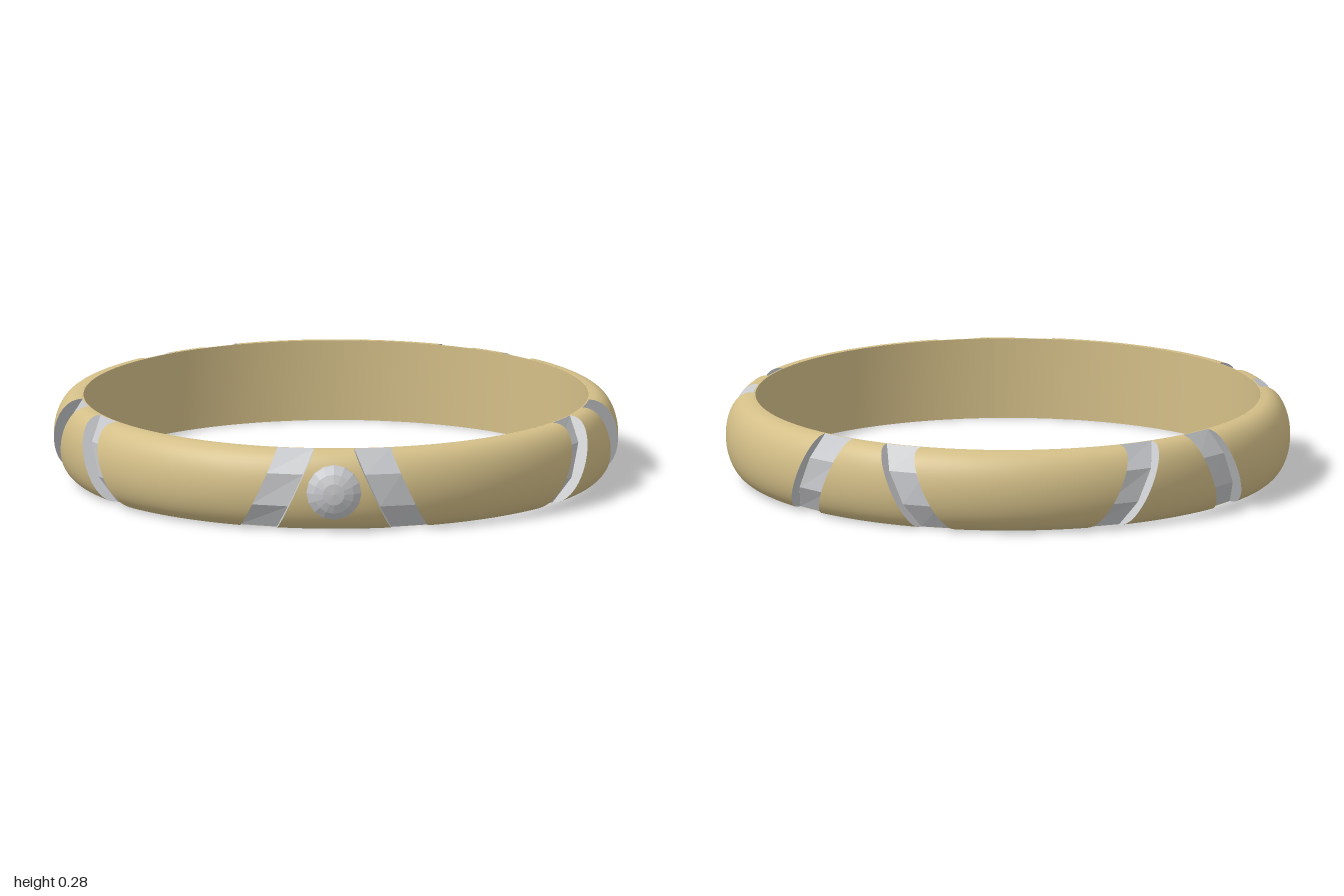
import * as THREE from 'three';

const H = 0.285, R_IN = 0.883, R_RIM = 0.888, R_OUT = 0.987, R_MID = 0.976, R_FLOOR = 0.936;
const PAIRS = 5, ROWS = 24;

const gold = new THREE.MeshStandardMaterial({ color: 0xd4bf88, side: THREE.DoubleSide });
gold.name = 'gold';
const silver = new THREE.MeshStandardMaterial({ color: 0xc9cacd, side: THREE.DoubleSide });
silver.name = 'silver';

// Sideways offset of the slanted groove edges at height y
const outerEdge = (y) => 0.2 + 0.13 * (1 - y / H);
const innerEdge = (y) => 0.07 + 0.13 * (1 - y / H);

// Domed outside profile of the band, bottom to top, as [radius, y]
function domeProfile(rMax) {
  const pts = [];
  for (let i = 0; i <= ROWS; i++) {
    const t = -Math.PI / 2 + (Math.PI * i) / ROWS;
    const c = Math.max(0, Math.cos(t));
    pts.push([R_RIM + (rMax - R_RIM) * Math.pow(c, 0.85), (H / 2) * (1 + Math.sin(t))]);
  }
  return pts;
}

// Three-facet profile of a groove floor
const floorProfile = [[R_RIM, 0], [R_FLOOR, 0.085], [R_FLOOR, 0.2], [R_RIM, H]];
function floorRadius(y) {
  for (let i = 1; i < floorProfile.length; i++) {
    const [r0, y0] = floorProfile[i - 1], [r1, y1] = floorProfile[i];
    if (y <= y1 + 1e-6) return r0 + ((r1 - r0) * (y - y0)) / (y1 - y0);
  }
  return R_RIM;
}

const ringPoint = (r, a, y) => new THREE.Vector3(r * Math.sin(a), y, r * Math.cos(a));

// Surface through rows of points
function gridGeometry(rows, flat) {
  const cols = rows[0].length, index = [];
  for (let i = 0; i < rows.length - 1; i++) {
    for (let j = 0; j < cols - 1; j++) {
      const a = i * cols + j, b = a + 1, c = a + cols, d = c + 1;
      index.push(a, b, d, a, d, c);
    }
  }
  let geo = new THREE.BufferGeometry().setFromPoints(rows.flat());
  geo.setIndex(index);
  if (flat) geo = geo.toNonIndexed();
  geo.computeVertexNormals();
  return geo;
}

// Surface following a profile between two angles that vary with radius and height
function bandGeometry(profile, start, end, cols, flat = false) {
  return gridGeometry(profile.map(([r, y]) => {
    const a0 = start(r, y), a1 = end(r, y), row = [];
    for (let j = 0; j <= cols; j++) row.push(ringPoint(r, a0 + ((a1 - a0) * j) / cols, y));
    return row;
  }), flat);
}

// Side wall of a groove, from its floor up to the dome
function wallGeometry(profile, angle) {
  return gridGeometry(profile.map(([r, y]) => {
    const f = Math.min(r, floorRadius(y));
    return [ringPoint(f, angle(f, y), y), ringPoint(r, angle(r, y), y)];
  }), true);
}

function addMesh(parent, name, geometry, material) {
  const mesh = new THREE.Mesh(geometry, material);
  mesh.name = name;
  parent.add(mesh);
  return mesh;
}

export function createModel() {
  const model = new THREE.Group();
  model.name = 'bandRing';
  const band = new THREE.Group();
  band.name = 'band';
  band.position.z = -0.0125;
  model.add(band);

  // Smooth inside wall and narrow flat rims
  addMesh(band, 'insideWall', bandGeometry([[R_IN, H], [R_IN, 0]], () => 0, () => Math.PI * 2, 128), gold);
  addMesh(band, 'topRim', bandGeometry([[R_RIM, H], [R_IN, H]], () => 0, () => Math.PI * 2, 128), gold);
  addMesh(band, 'bottomRim', bandGeometry([[R_IN, 0], [R_RIM, 0]], () => 0, () => Math.PI * 2, 128), gold);

  const mainDome = domeProfile(R_OUT), middleDome = domeProfile(R_MID);
  const step = (Math.PI * 2) / PAIRS;

  for (let k = 0; k < PAIRS; k++) {
    const sector = new THREE.Group();
    sector.name = 'sector' + (k + 1);
    sector.rotation.y = k * step;
    band.add(sector);

    const outer = (s) => (r, y) => s * Math.asin(outerEdge(y) / r);
    const inner = (s) => (r, y) => s * Math.asin(innerEdge(y) / r);

    // Long domed piece up to the next pair, and the short one between the grooves
    addMesh(sector, 'longDome',
      bandGeometry(mainDome, outer(1), (r, y) => step + outer(-1)(r, y), 36), gold);
    addMesh(sector, 'shortDome', bandGeometry(middleDome, inner(-1), inner(1), 12), gold);

    // Mirrored slanted grooves with faceted floors
    for (const s of [-1, 1]) {
      const from = s > 0 ? inner(1) : outer(-1), to = s > 0 ? outer(1) : inner(-1);
      addMesh(sector, 'grooveFloor', bandGeometry(floorProfile, from, to, 1, true), silver);
      addMesh(sector, 'grooveOuterWall', wallGeometry(mainDome, outer(s)), silver);
      addMesh(sector, 'grooveInnerWall', wallGeometry(middleDome, inner(s)), silver);
    }
  }

  // Round faceted stone at the front
  const stoneProfile = [[0.096, 0], [0.096, 0.043], [0.07, 0.062], [0.038, 0.074], [0, 0.0775]]
    .map(([r, h]) => new THREE.Vector2(r, h));
  const stoneGeo = new THREE.LatheGeometry(stoneProfile, 16).toNonIndexed();
  stoneGeo.computeVertexNormals();
  const stone = addMesh(model, 'stone', stoneGeo, silver);
  stone.rotation.x = Math.PI / 2;
  stone.position.set(0, 0.145, 0.922);

  return model;
}
